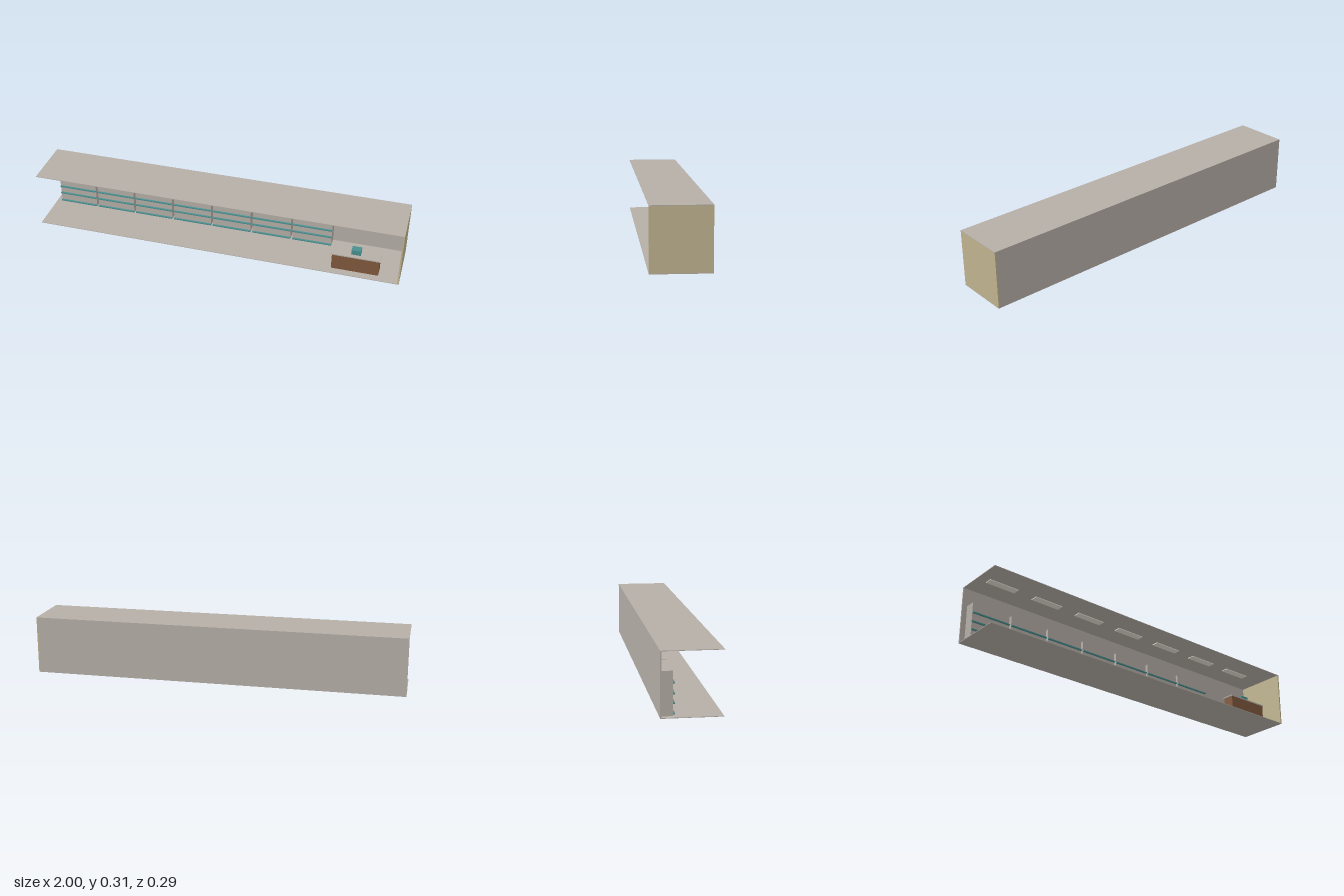
import * as THREE from 'three';

export function createModel() {
  const model = new THREE.Group();
  model.name = 'shopInterior';

  const material = (name, color) => {
    const m = new THREE.MeshStandardMaterial({ color });
    m.name = name;
    return m;
  };
  const plaster = material('grey plaster', 0xb5aea7);
  const sand = material('sand paint', 0xbfb38f);
  const teal = material('teal', 0x4a8f8f);
  const wood = material('brown wood', 0x80593d);
  const lightPanel = material('pale light panel', 0xe8e4d8);

  // Box given by its minimum and maximum corners
  const box = (name, mat, [x0, y0, z0], [x1, y1, z1], parent = model) => {
    const mesh = new THREE.Mesh(new THREE.BoxGeometry(x1 - x0, y1 - y0, z1 - z0), mat);
    mesh.position.set((x0 + x1) / 2, (y0 + y1) / 2, (z0 + z1) / 2);
    mesh.name = name;
    parent.add(mesh);
    return mesh;
  };

  // Room shell, open at the front and at one end
  const D = 0.145, H = 0.31, T = 0.003;
  box('floor', plaster, [-1, 0, -D], [1, T, D]);
  box('ceiling', plaster, [-1, H - T, -D], [1, H, D]);
  box('backWall', plaster, [-1, T, -D], [0.992, H - T, -D + 0.006]);
  box('endWall', sand, [0.992, T, -D], [1, H - T, D]);

  // Seven shelf bays along the back wall, each with teal shelf edges
  for (let i = 0; i < 7; i++) {
    const bay = new THREE.Group();
    bay.name = 'shelfBay' + (i + 1);
    const x0 = -0.972 + i * 0.2268, x1 = x0 + 0.215;
    box('bayBody', plaster, [x0, T, -D + 0.006], [x1, 0.212, -0.084], bay);
    for (const y of [0.012, 0.062, 0.106, 0.155]) {
      box('shelfEdge', teal, [x0, y - 0.003, -0.084], [x1, y + 0.003, -0.074], bay);
    }
    model.add(bay);
  }

  // Ceiling light panels
  for (let i = 0; i < 7; i++) {
    const x = -0.862 + i * 0.2725;
    box('ceilingLight', lightPanel, [x - 0.083, H - T - 0.004, -0.02], [x + 0.083, H - T, 0.02]);
  }

  // Counter with a slightly wider top
  box('counterBody', wood, [0.637, T, 0.042], [0.887, 0.092, 0.104]);
  box('counterTop', plaster, [0.633, 0.092, 0.039], [0.891, 0.098, 0.107]);

  // Cash register
  box('register', teal, [0.735, 0.098, 0.045], [0.785, 0.125, 0.085]);

  return model;
}
